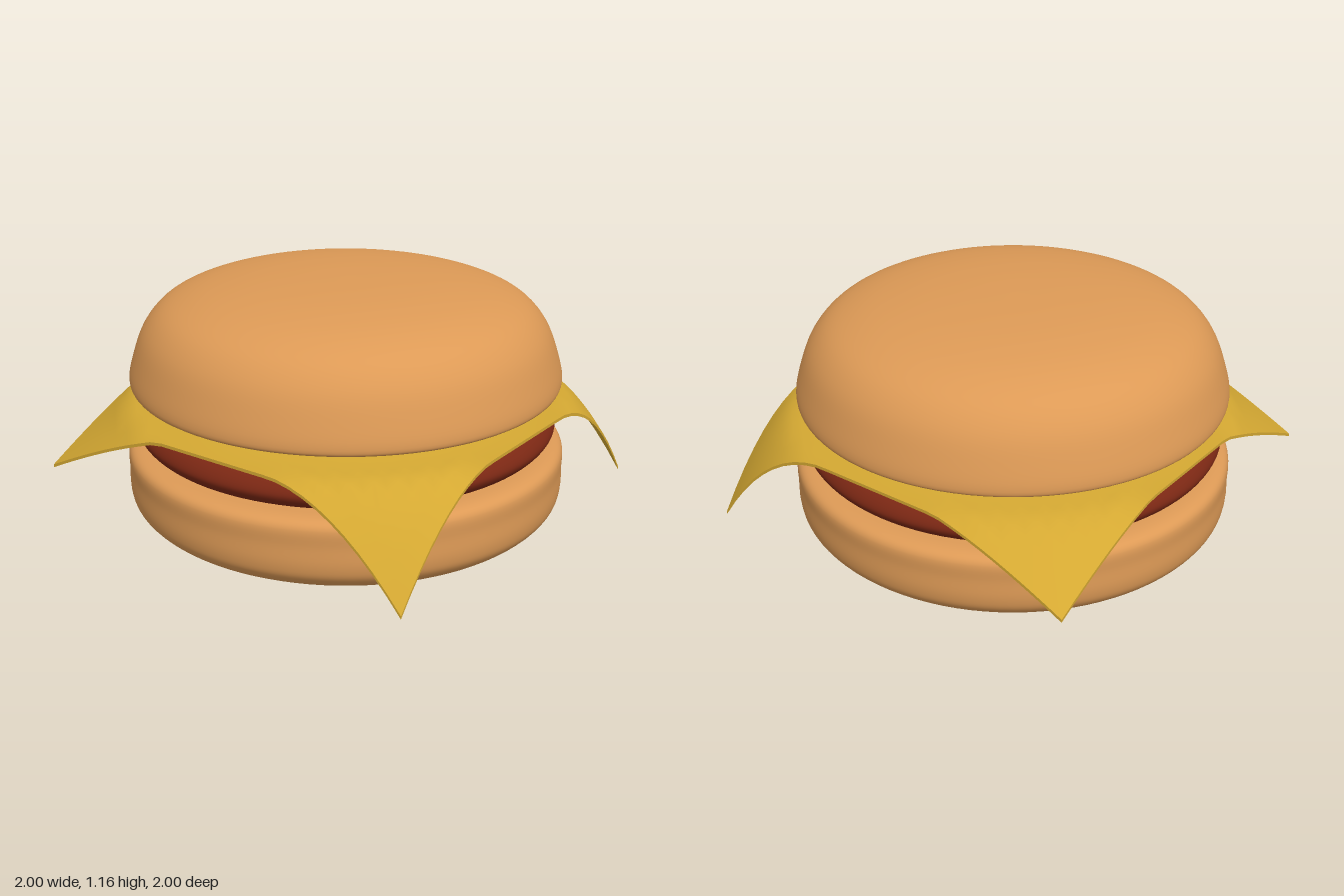
import * as THREE from 'three';

const bunMaterial = new THREE.MeshStandardMaterial({ color: 0xdd9a56 });
const pattyMaterial = new THREE.MeshStandardMaterial({ color: 0x7c2814 });
const cheeseMaterial = new THREE.MeshStandardMaterial({ color: 0xd4a832 });

// Round layer: a smooth profile (bottom to top) turned about the y axis
function roundLayer(name, profile, material) {
  const curve = new THREE.CatmullRomCurve3(
    profile.map(([r, y]) => new THREE.Vector3(r, y, 0)), false, 'centripetal');
  const points = curve.getPoints(60).map(p => new THREE.Vector2(Math.max(p.x, 0), p.y));
  const mesh = new THREE.Mesh(new THREE.LatheGeometry(points, 96), material);
  mesh.name = name;
  return mesh;
}

// Cheese corners: how far each one hangs and how sharply it bends
const corners = {
  frontLeft: { drop: 0.47, bend: 1.5 },
  frontRight: { drop: 0.42, bend: 1.4 },
  backLeft: { drop: 0.24, bend: 1.0 },
  backRight: { drop: 0.27, bend: 0.9 },
};

function cheeseHeight(x, z) {
  const r = Math.hypot(x, z);
  const corner = corners[(z > 0 ? 'front' : 'back') + (x > 0 ? 'Left' : 'Right')];
  const t = Math.max(0, (r - 1) / 0.343);
  return 0.65 - 0.055 * THREE.MathUtils.smoothstep(r, 0.45, 0.95)
    - corner.drop * Math.pow(t, corner.bend);
}

// Thin square slice draped over the patty
function cheeseSlice() {
  const geometry = new THREE.BoxGeometry(1.9, 0.014, 1.9, 28, 1, 28);
  const pos = geometry.attributes.position;
  for (let i = 0; i < pos.count; i++) {
    pos.setY(i, pos.getY(i) + cheeseHeight(pos.getX(i), pos.getZ(i)));
  }
  geometry.computeVertexNormals();
  const mesh = new THREE.Mesh(geometry, cheeseMaterial);
  mesh.name = 'cheeseSlice';
  return mesh;
}

export function createModel() {
  const burger = new THREE.Group();
  burger.name = 'burger';

  burger.add(roundLayer('bottomBun', [
    [0, 0], [0.4, 0.008], [0.65, 0.025], [0.82, 0.055], [0.93, 0.1], [0.985, 0.155],
    [1, 0.21], [1, 0.3], [1, 0.375], [0.985, 0.4], [0.95, 0.415], [0.85, 0.42], [0, 0.42],
  ], bunMaterial));

  burger.add(roundLayer('patty', [
    [0, 0.41], [0.83, 0.42], [0.92, 0.445], [0.96, 0.5], [0.93, 0.555],
    [0.85, 0.585], [0.5, 0.63], [0, 0.635],
  ], pattyMaterial));

  burger.add(cheeseSlice());

  burger.add(roundLayer('topBun', [
    [0, 0.655], [0.45, 0.66], [0.75, 0.67], [0.92, 0.685], [0.975, 0.7], [0.982, 0.725],
    [0.96, 0.82], [0.91, 0.945], [0.83, 1.035], [0.7, 1.095], [0.5, 1.135],
    [0.25, 1.155], [0, 1.16],
  ], bunMaterial));

  return burger;
}
